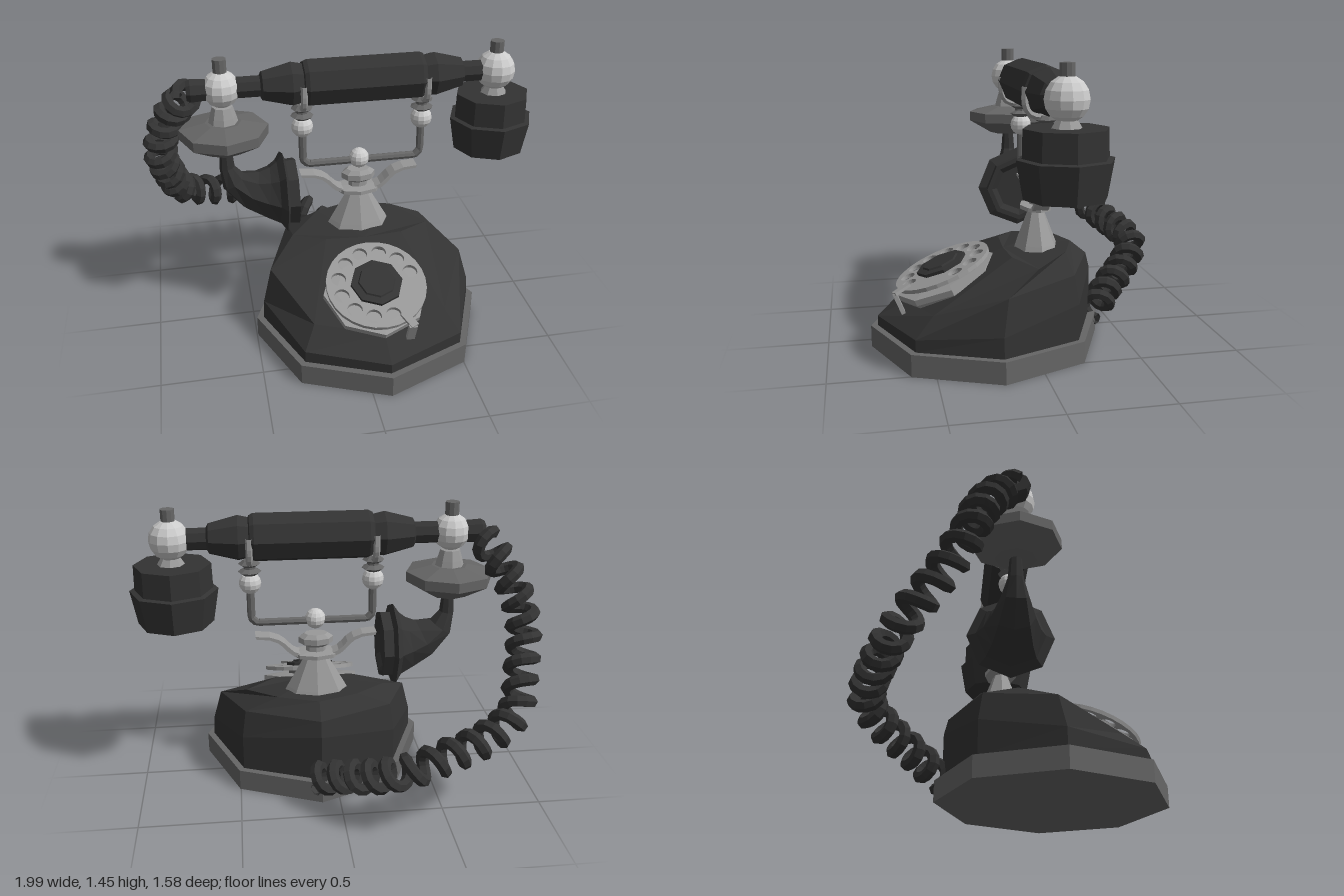
import * as THREE from 'three';

const V = (x, y, z) => new THREE.Vector3(x, y, z);
const mat = (color) => new THREE.MeshStandardMaterial({ color, flatShading: true, side: THREE.DoubleSide });

export function createModel() {
  const root = new THREE.Group();
  const black = mat(0x333333), iron = mat(0x666666), steel = mat(0x999999), bright = mat(0xcccccc);
  const ZC = -0.04; // handset plane
  const CX = 0.09; // base centre

  // Faceted mesh with its own normals per face
  function add(name, geo, material, x = 0, y = 0, z = 0, parent = root) {
    const g = geo.index ? geo.toNonIndexed() : geo;
    g.computeVertexNormals();
    const m = new THREE.Mesh(g, material);
    m.name = name;
    m.position.set(x, y, z);
    parent.add(m);
    return m;
  }
  const lathe = (pts, n = 8) => new THREE.LatheGeometry(pts.map(([r, y]) => new THREE.Vector2(r, y)), n);
  const ball = (r) => new THREE.SphereGeometry(r, 12, 8);
  const tube = (pts, n, r, sides = 6) => new THREE.TubeGeometry(new THREE.CatmullRomCurve3(pts), n, r, sides);

  // Skin over closed rings, capped at both ends
  function loft(rings) {
    const n = rings[0].length, pos = [], idx = [];
    rings.forEach((r) => r.forEach((p) => pos.push(p.x, p.y, p.z)));
    for (let i = 0; i < rings.length - 1; i++) {
      for (let j = 0; j < n; j++) {
        const a = i * n + j, b = i * n + (j + 1) % n;
        idx.push(a, b, b + n, a, b + n, a + n);
      }
    }
    const top = (rings.length - 1) * n;
    for (let j = 1; j < n - 1; j++) idx.push(0, j + 1, j, top, top + j, top + j + 1);
    const g = new THREE.BufferGeometry();
    g.setAttribute('position', new THREE.Float32BufferAttribute(pos, 3));
    g.setIndex(idx);
    return g;
  }

  // Octagonal plinth
  add('plinth', lathe([[0, 0], [0.585, 0], [0.585, 0.11], [0, 0.11]]), iron, CX, 0, 0.2);

  // Body: symmetric eight-corner rings, given from front to back as [x, y, z]
  const mirrorRing = (half) => [...half, ...half.slice(1, -1).reverse().map(([x, y, z]) => [-x, y, z])]
    .map(([x, y, z]) => V(x, y, z));
  add('body', loft([
    mirrorRing([[0, 0.11, 0.75], [0.39, 0.11, 0.59], [0.55, 0.11, 0.2], [0.39, 0.11, -0.19], [0, 0.11, -0.345]]),
    mirrorRing([[0, 0.16, 0.75], [0.39, 0.17, 0.59], [0.545, 0.21, 0.2], [0.39, 0.29, -0.19], [0, 0.35, -0.345]]),
    mirrorRing([[0, 0.23, 0.6], [0.33, 0.26, 0.5], [0.5, 0.38, 0.17], [0.37, 0.43, -0.17], [0, 0.43, -0.325]]),
    mirrorRing([[0, 0.48, 0.11], [0.2, 0.485, 0.1], [0.36, 0.468, 0], [0.2, 0.5, -0.17], [0, 0.5, -0.24]]),
  ]), black, CX);

  // Tilted dial
  const dial = new THREE.Group();
  dial.name = 'dial';
  dial.position.set(0.085, 0.31, 0.385);
  dial.rotation.x = 0.38;
  root.add(dial);
  add('dialBase', lathe([[0, -0.02], [0.235, -0.02], [0.262, 0.02], [0.262, 0.05], [0.2, 0.055], [0, 0.055]]), steel, 0, 0, 0, dial);
  const disc = new THREE.Shape().absarc(0, 0, 0.25, 0, Math.PI * 2);
  for (let i = 0; i < 10; i++) {
    const a = (15 + i * 30) * Math.PI / 180;
    disc.holes.push(new THREE.Path().absarc(0.188 * Math.cos(a), 0.188 * Math.sin(a), 0.037, 0, Math.PI * 2, true));
  }
  const plate = new THREE.ExtrudeGeometry(disc, { depth: 0.02, bevelEnabled: false, curveSegments: 14 });
  plate.rotateX(-Math.PI / 2);
  add('fingerPlate', plate, steel, 0, 0.082, 0, dial);
  add('dialNeck', new THREE.CylinderGeometry(0.12, 0.12, 0.04, 8), iron, 0, 0.07, 0, dial);
  add('dialHub', lathe([[0, 0.1], [0.13, 0.1], [0.13, 0.118], [0.095, 0.122], [0.09, 0.13], [0, 0.13]]), black, 0, 0, 0, dial);
  const stop = add('fingerStop', new THREE.BoxGeometry(0.09, 0.015, 0.04), steel, 0.115, 0.108, 0.225, dial);
  stop.rotation.y = -1.1;
  add('fingerStopPost', new THREE.BoxGeometry(0.04, 0.12, 0.02), steel, 0.125, 0.05, 0.262, dial);

  // Cradle pedestal
  const post = add('pedestal', lathe([[0, 0.48], [0.165, 0.48], [0.15, 0.51], [0.06, 0.67], [0.12, 0.68], [0.12, 0.70],
    [0.05, 0.705], [0.05, 0.73], [0.088, 0.75], [0.088, 0.78], [0.06, 0.8], [0, 0.8]]), steel, CX, 0, -0.06);
  post.scale.z = 0.68;
  // Curved prongs on both sides
  const prong = new THREE.Shape();
  prong.moveTo(0.08, 0.68);
  prong.bezierCurveTo(0.18, 0.7, 0.14, 0.79, 0.3, 0.79);
  prong.lineTo(0.305, 0.805);
  prong.bezierCurveTo(0.13, 0.805, 0.16, 0.72, 0.08, 0.7);
  for (const s of [-1, 1]) {
    const g = new THREE.ExtrudeGeometry(prong, { depth: 0.08, bevelEnabled: false, curveSegments: 6 });
    const m = add('prong', g, steel, CX, 0, s > 0 ? -0.1 : -0.02);
    if (s < 0) m.rotation.y = Math.PI;
  }

  // Cradle frame, balls and forks
  add('frameBall', ball(0.052), bright, CX, 0.87, ZC);
  const rod = new THREE.CurvePath();
  const corners = [V(-0.2, 1.04, ZC), V(-0.2, 0.885, ZC), V(-0.175, 0.86, ZC), V(0.385, 0.86, ZC), V(0.41, 0.885, ZC), V(0.41, 1.04, ZC)];
  for (let i = 0; i < 5; i++) rod.add(new THREE.LineCurve3(corners[i], corners[i + 1]));
  add('cradleFrame', new THREE.TubeGeometry(rod, 60, 0.02, 8), iron);
  for (const x of [-0.2, 0.41]) {
    add('cradleBall', ball(0.055), bright, x, 1.07, ZC);
    add('cradleCollar', lathe([[0, 1.11], [0.03, 1.11], [0.058, 1.13], [0.03, 1.145], [0.03, 1.155], [0.055, 1.17], [0.03, 1.19], [0, 1.19]]), iron, x, 0, ZC);
    const fork = [[0.1, 1.32], [0.1, 1.24], [0.075, 1.195], [0, 1.18], [-0.075, 1.195], [-0.1, 1.24], [-0.1, 1.32]];
    add('cradleFork', tube(fork.map(([z, y]) => V(x, y, ZC + z)), 16, 0.017), steel);
  }

  // Handset bar, turned along x
  const bar = lathe([[0, -0.75], [0.05, -0.75], [0.06, -0.73], [0.055, -0.65], [0.055, -0.4], [0.075, -0.39], [0.112, -0.25], [0.1, -0.195],
    [0.11, -0.19], [0.12, -0.17], [0.12, 0.385], [0.11, 0.405], [0.1, 0.41], [0.112, 0.46], [0.075, 0.6], [0.055, 0.61], [0.055, 0.8], [0, 0.8]]);
  bar.rotateZ(-Math.PI / 2);
  add('handsetBar', bar, black, 0, 1.3, ZC);
  for (const [x, r] of [[-0.585, 0.092], [0.785, 0.1]]) {
    add('jointBall', ball(r), bright, x, 1.3, ZC);
    add('jointCap', new THREE.CylinderGeometry(0.034, 0.034, 0.08, 10), iron, x, 1.41, ZC);
  }

  // Earpiece
  add('earpieceCollar', new THREE.CylinderGeometry(0.045, 0.07, 0.04, 8), steel, 0.785, 1.195, ZC);
  add('earpiece', lathe([[0, 0.88], [0.185, 0.88], [0.215, 1.05], [0.19, 1.055], [0.187, 1.18], [0, 1.18]]), black, 0.78, 0, ZC);

  // Mouthpiece disc
  add('mouthpieceCollar', lathe([[0, 1.12], [0.075, 1.12], [0.065, 1.16], [0.05, 1.21], [0, 1.22]]), steel, -0.585, 0, ZC);
  add('mouthpieceDisc', lathe([[0, 0.98], [0.1, 0.98], [0.218, 1.05], [0.218, 1.1], [0.09, 1.13], [0, 1.13]]), iron, -0.585, 0, ZC);

  // Flared horn: [x, y, radius, heading in degrees]
  const horn = [[-0.585, 1, 0.028, -90], [-0.583, 0.88, 0.038, -82], [-0.555, 0.8, 0.066, -55], [-0.47, 0.742, 0.105, -26],
    [-0.39, 0.72, 0.138, -8], [-0.335, 0.715, 0.17, 0], [-0.305, 0.715, 0.215, 0], [-0.29, 0.715, 0.172, 0],
    [-0.24, 0.715, 0.175, 0], [-0.24, 0.715, 0.15, 0], [-0.26, 0.715, 0.12, 0]];
  add('horn', loft(horn.map(([x, y, r, deg]) => {
    const t = deg * Math.PI / 180;
    return Array.from({ length: 8 }, (_, j) => {
      const a = j * Math.PI / 4, c = r * Math.cos(a);
      return V(x - c * Math.sin(t), y + c * Math.cos(t), ZC + r * Math.sin(a));
    });
  })), black);

  // Coiled cord wound around a smooth path
  const path = new THREE.CatmullRomCurve3([V(-0.74, 1.27, -0.06), V(-0.79, 1.2, -0.14), V(-0.87, 1.05, -0.22), V(-0.91, 0.88, -0.28),
    V(-0.88, 0.7, -0.39), V(-0.82, 0.53, -0.52), V(-0.66, 0.45, -0.61), V(-0.48, 0.41, -0.67), V(-0.3, 0.36, -0.7),
    V(-0.15, 0.28, -0.61), V(0, 0.2, -0.47), V(0.14, 0.13, -0.36)]);
  const turns = 20, steps = turns * 12, frames = path.computeFrenetFrames(steps);
  const coil = [];
  for (let i = 0; i <= steps; i++) {
    const a = i / 12 * Math.PI * 2, r = 0.062;
    coil.push(path.getPointAt(i / steps)
      .addScaledVector(frames.normals[i], r * Math.cos(a))
      .addScaledVector(frames.binormals[i], r * Math.sin(a)));
  }
  add('coiledCord', tube(coil, steps, 0.03), black);

  return root;
}
